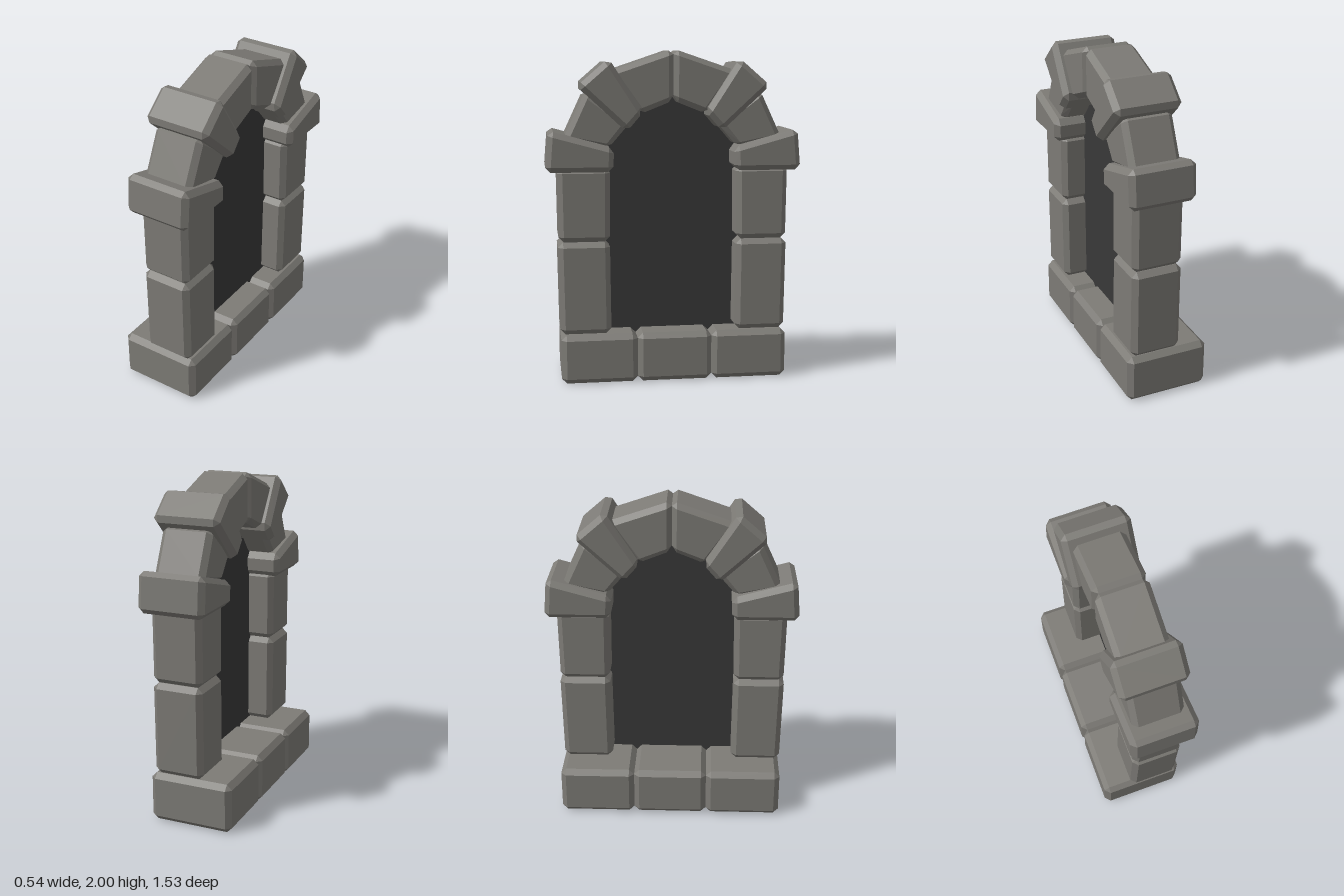
import * as THREE from 'three';
import { ConvexGeometry } from 'three/addons/geometries/ConvexGeometry.js';

const stone = new THREE.MeshStandardMaterial({ color: 0x7d7b76 });
stone.name = 'grey stone';
const dark = new THREE.MeshStandardMaterial({ color: 0x393939, side: THREE.DoubleSide });
dark.name = 'dark opening';

// Chamfered stone: a quad of [z, y] corners swept from x0 to x1, with every edge cut back by c
function block(name, quad, x0, x1, c = 0.032) {
  const points = [];
  const corner = (i, x) => new THREE.Vector3(x, quad[i][1], quad[i][0]);
  for (let i = 0; i < 4; i++) {
    for (const [x, other] of [[x0, x1], [x1, x0]]) {
      const v = corner(i, x);
      const edges = [corner((i + 1) % 4, x), corner((i + 3) % 4, x), corner(i, other)]
        .map((p) => p.sub(v).setLength(c));
      for (let k = 0; k < 3; k++) {
        points.push(v.clone().add(edges[k]).add(edges[(k + 1) % 3]));
      }
    }
  }
  const mesh = new THREE.Mesh(new ConvexGeometry(points), stone);
  mesh.name = name;
  return mesh;
}

export function createModel() {
  const model = new THREE.Group();
  model.name = 'stoneArchWindow';

  // Sill: three stones in a row, projecting on one side
  const joints = [0.686, 0.222, -0.233, -0.696];
  for (let i = 0; i < 3; i++) {
    const a = joints[i], b = joints[i + 1];
    model.add(block('sillStone', [[a, 0], [b, 0], [b, 0.302], [a, 0.302]], -0.272, 0.245));
  }

  // Stones of one half of the arch, mirrored to the other side
  const thin = [-0.093, 0.22], wide = [-0.142, 0.27];
  const half = [
    ['lowerPillarStone', [[0.69, 0.302], [0.38, 0.302], [0.385, 0.868], [0.698, 0.868]], thin],
    ['upperPillarStone', [[0.693, 0.868], [0.385, 0.868], [0.38, 1.315], [0.698, 1.315]], thin],
    ['springerStone', [[0.768, 1.293], [0.365, 1.293], [0.36, 1.435], [0.747, 1.542]], wide],
    ['lowerArchStone', [[0.66, 1.48], [0.39, 1.43], [0.265, 1.575], [0.525, 1.77]], thin],
    ['projectingArchStone', [[0.575, 1.798], [0.285, 1.53], [0.185, 1.645], [0.388, 1.96]], wide],
    ['crownStone', [[0.38, 1.885], [0.2, 1.63], [0, 1.71], [0, 2.014]], thin],
  ];
  for (const side of [1, -1]) {
    const group = new THREE.Group();
    group.name = side > 0 ? 'frontHalf' : 'backHalf';
    for (const [name, quad, [x0, x1]] of half) {
      group.add(block(name, quad.map(([z, y]) => [z * side, y]), x0, x1));
    }
    model.add(group);
  }

  // Dark pane filling the opening, its rim buried in the stones
  const rim = [[0.45, 0.25], [0.45, 1.4], [0.38, 1.54], [0.25, 1.68], [0.1, 1.76]];
  const outline = [...rim, ...rim.map(([z, y]) => [-z, y]).reverse()];
  const shape = new THREE.Shape(outline.map(([z, y]) => new THREE.Vector2(z, y)));
  const pane = new THREE.Mesh(new THREE.ShapeGeometry(shape).rotateY(Math.PI / 2), dark);
  pane.position.x = 0.07;
  pane.name = 'darkPane';
  model.add(pane);

  return model;
}
